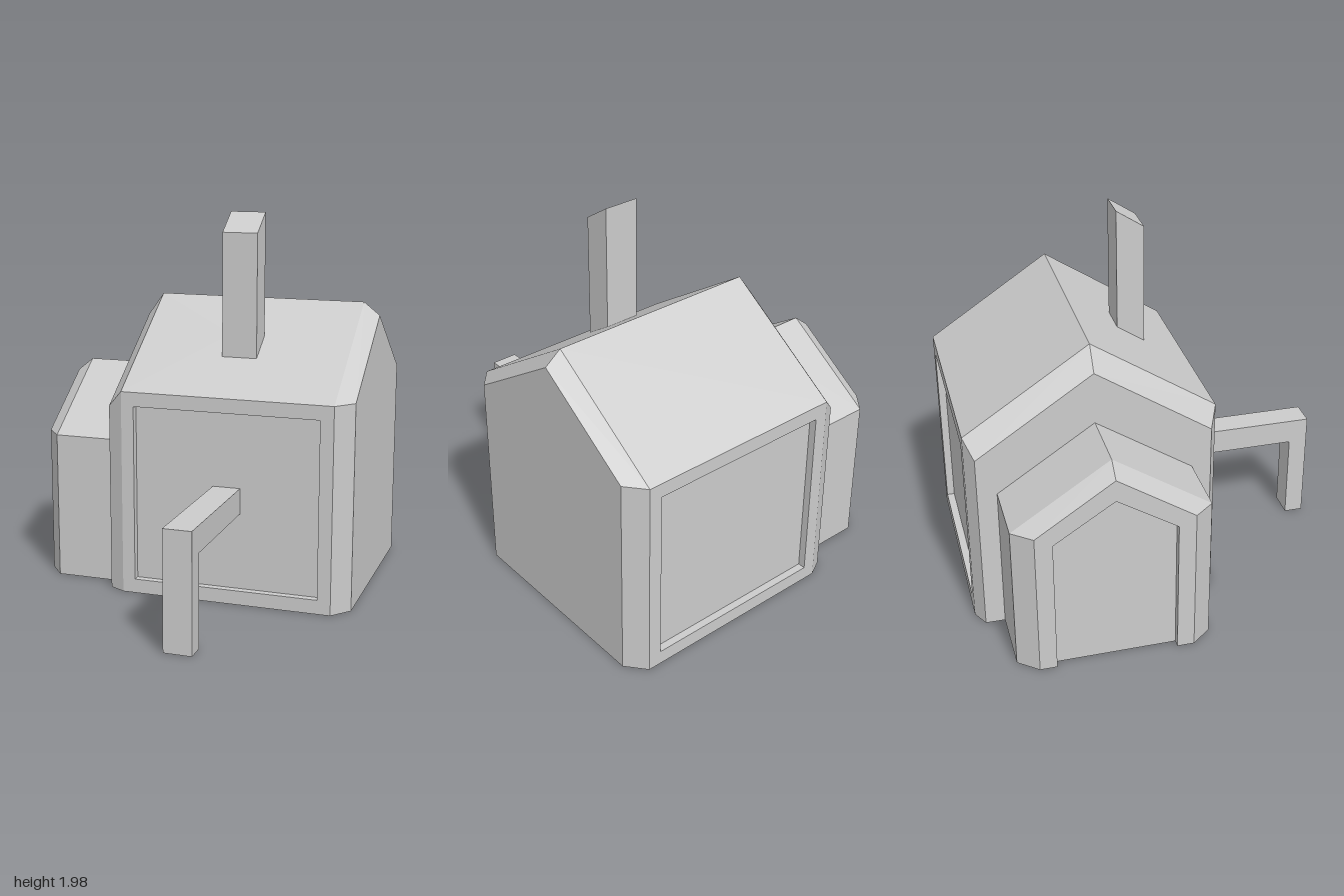
import * as THREE from 'three';
import { mergeGeometries } from 'three/addons/utils/BufferGeometryUtils.js';

const V = (x, y, z) => new THREE.Vector3(x, y, z);

// Flat polygon (u, v) with holes, placed in space by a mapping rule
function panel(outline, map, holes = []) {
  const toV2 = (pts) => pts.map(([u, v]) => new THREE.Vector2(u, v));
  const shape = new THREE.Shape(toV2(outline));
  holes.forEach((h) => shape.holes.push(new THREE.Path(toV2(h))));
  const g = new THREE.ShapeGeometry(shape).toNonIndexed();
  const p = g.attributes.position;
  for (let i = 0; i < p.count; i++) {
    const q = map(p.getX(i), p.getY(i));
    p.setXYZ(i, q.x, q.y, q.z);
  }
  g.deleteAttribute('uv');
  g.computeVertexNormals();
  return g;
}

// Strip of quads joining two matching rows of points
function loft(a, b, { closed = false, skip = [] } = {}) {
  const pts = [];
  const n = a.length;
  for (let i = 0; i < (closed ? n : n - 1); i++) {
    if (skip.includes(i)) continue;
    const j = (i + 1) % n;
    pts.push(a[i], a[j], b[j], a[i], b[j], b[i]);
  }
  const g = new THREE.BufferGeometry().setFromPoints(pts);
  g.computeVertexNormals();
  return g;
}

// Mapping rules for the four wall directions
const front = (z) => (u, v) => V(u, v, z);
const back = (z) => (u, v) => V(-u, v, z);
const left = (x) => (u, v) => V(x, v, -u);
const right = (x) => (u, v) => V(x, v, u);

const rect = (u0, v0, u1, v1) => [[u0, v0], [u1, v0], [u1, v1], [u0, v1]];
const flipU = (pts) => pts.map(([u, v]) => [-u, v]);
const place = (pts, map) => pts.map(([u, v]) => map(u, v));

// Gable outline in (z, y): front foot, over the ridge, back foot
const MID = -0.355;
const gable = (half, eave, ridge) => [
  [MID + half, 0], [MID + half, eave], [MID, ridge], [MID - half, eave], [MID - half, 0],
];

export function createModel() {
  const group = new THREE.Group();
  const material = new THREE.MeshStandardMaterial({
    color: 0xcccccc, flatShading: true, side: THREE.DoubleSide,
  });
  const add = (name, parts) => {
    const mesh = new THREE.Mesh(mergeGeometries(parts), material);
    mesh.name = name;
    group.add(mesh);
  };

  const HALF = 0.645, EAVE = 1.08, RIDGE = 1.508, DEPTH = 0.04;
  const zF = MID + HALF, zB = MID - HALF;
  const x0 = -0.345, x1 = 0.775;
  const roofY = (z) => RIDGE - Math.abs(z - MID) * (RIDGE - EAVE) / HALF;

  const body = gable(HALF, EAVE, RIDGE);
  const leftEnd = gable(0.545, EAVE, 1.44);
  const rightEnd = gable(0.6, 0.99, 1.39);
  const annexBody = gable(0.5, 0.785, 1.117);
  const annexEnd = gable(0.398, 0.785, 1.05);

  const recess = rect(-0.278, 0.075, 0.705, 1.005);
  const wall = rect(x0, 0, x1, EAVE);
  const armHole = rect(0.14, 0.475, 0.285, 0.61);
  const stack = rect(0.12, -0.04, 0.305, 0.105); // (x, -z)
  const onRoof = (lift) => (u, v) => V(u, roofY(-v) + lift, -v);

  // House shell, open underneath, with bevelled ends
  add('house', [
    loft(place(leftEnd, right(0.86)), place(body, right(x1))),
    loft(place(body, right(x1)), place(body, right(x0)), { skip: [0, 1, 3] }),
    loft(place(body, right(x0)), place(rightEnd, right(-0.43))),
    panel(flipU(leftEnd), left(0.86)),
    // right gable, cut out where the annex joins
    panel([...rightEnd, ...annexBody.slice().reverse()], right(-0.43)),
    // front roof slope, pierced by the chimney
    panel(rect(x0, -zF, x1, -MID), onRoof(0), [stack]),
    panel(wall, front(zF), [recess]),
    panel(flipU(wall), back(zB), [flipU(recess)]),
  ]);

  // Sunken panels of the front and back walls
  add('frontPanel', [
    loft(place(recess, front(zF)), place(recess, front(zF - DEPTH)), { closed: true }),
    panel(recess, front(zF - DEPTH), [armHole]),
  ]);
  const backRecess = flipU(recess).reverse();
  add('backPanel', [
    loft(place(backRecess, back(zB)), place(backRecess, back(zB + DEPTH)), { closed: true }),
    panel(backRecess, back(zB + DEPTH)),
  ]);

  // Annex, with a sunken doorway reaching the ground
  const door = gable(0.31, 0.735, 0.935);
  add('annex', [
    loft(place(annexBody, right(-0.43)), place(annexBody, right(-0.777))),
    loft(place(annexBody, right(-0.777)), place(annexEnd, right(-0.86))),
    panel([...annexEnd, ...door.slice().reverse()], right(-0.86)),
    loft(place(door, right(-0.86)), place(door, right(-0.86 + DEPTH))),
    panel(door, right(-0.86 + DEPTH)),
  ]);

  // Chimney, its top parallel to the roof
  add('chimney', [
    loft(place(stack, onRoof(0)), place(stack, onRoof(0.64)), { closed: true }),
    panel(stack, onRoof(0.64)),
  ]);

  // Hollow bent arm from the front panel down to the ground, in (z, y)
  const zA = zF - DEPTH;
  const outer = [[zA, 0.61], [1, 0.61], [1, 0]];
  const inner = [[zA, 0.475], [0.9, 0.475], [0.9, 0]];
  const side = [...outer, ...inner.slice().reverse()];
  add('frontArm', [
    loft(place(outer, right(0.14)), place(outer, right(0.285))),
    loft(place(inner, right(0.285)), place(inner, right(0.14))),
    panel(side, right(0.14)),
    panel(flipU(side), left(0.285)),
  ]);

  return group;
}
